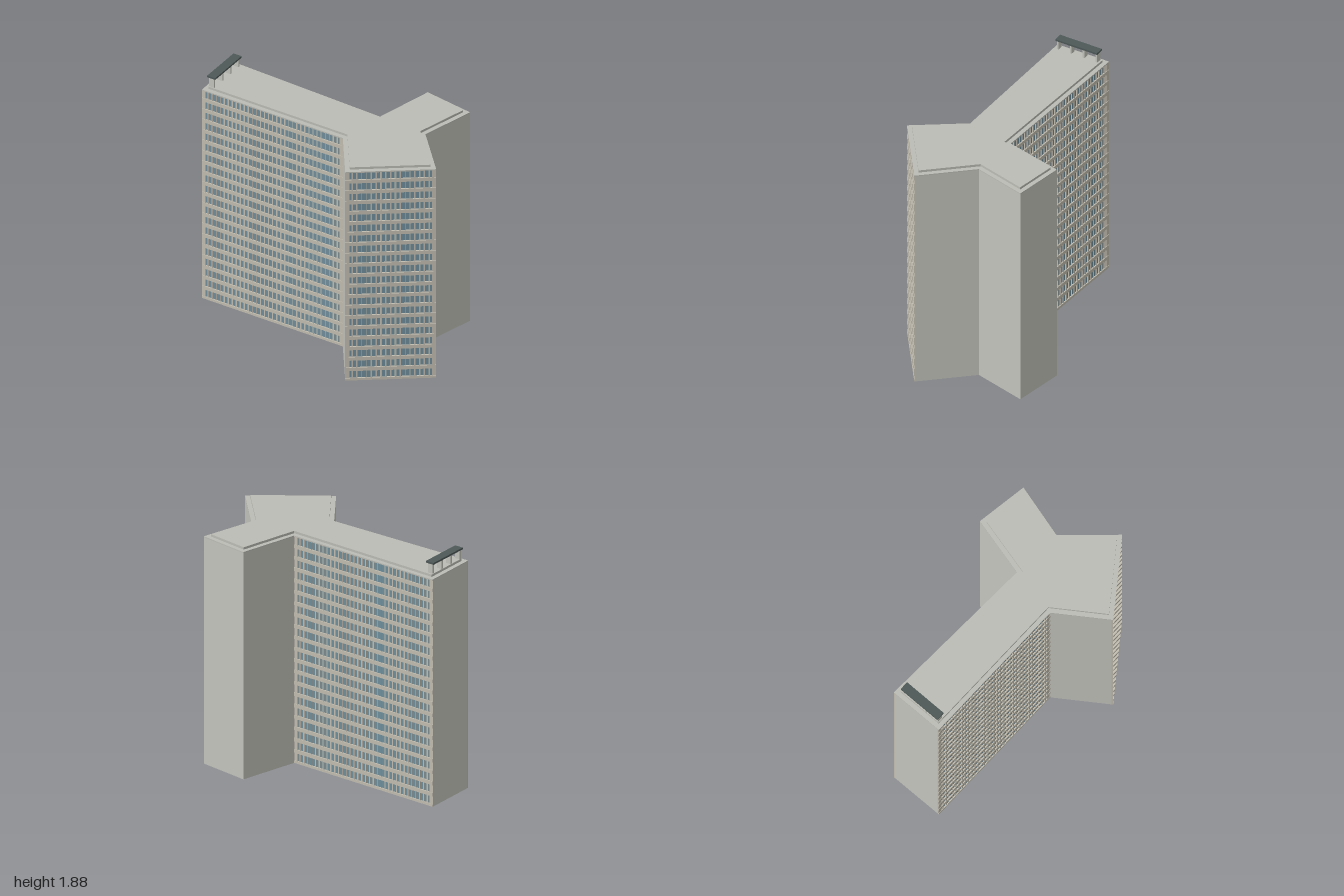
import * as THREE from 'three';
import { mergeGeometries } from 'three/addons/utils/BufferGeometryUtils.js';

const mat = (name, color) => {
  const m = new THREE.MeshStandardMaterial({ color });
  m.name = name;
  return m;
};

// Footprint corners [x, z]; edge i runs from corner i to corner i + 1
const PLAN = [
  [-1, -0.16], [0.27, -0.15], [0.37, -0.61], [0.77, -0.56], [0.67, -0.14],
  [0.995, 0.2], [0.48, 0.6], [0.21, 0.235], [-0.985, 0.27],
];
const WINDOWED = { 0: 35, 5: 18, 7: 34 }; // edge -> window columns
const TOP = 1.77, FLOORS = 20, STOREY = TOP / FLOORS, DEPTH = 0.012;

// Unit direction of edge i
function edgeDir(i) {
  const n = PLAN.length, a = PLAN[(i + n) % n], b = PLAN[(i + 1) % n];
  return new THREE.Vector2(b[0] - a[0], b[1] - a[1]).normalize();
}

// Move every edge of the footprint inwards by dist(edge)
function inset(dist) {
  const n = PLAN.length;
  return PLAN.map(([x, z], i) => {
    const p = (i + n - 1) % n, u = edgeDir(p), v = edgeDir(i);
    const cross = u.x * v.y - u.y * v.x, dot = u.dot(v);
    const s = (dist(p) * dot - dist(i)) / cross; // slide along the previous edge
    return [x - u.y * dist(p) + u.x * s, z + u.x * dist(p) + u.y * s];
  });
}

// Vertical prism over a plan outline
function prism(points, y0, y1) {
  const shape = new THREE.Shape(points.map(([x, z]) => new THREE.Vector2(x, -z)));
  const g = new THREE.ExtrudeGeometry(shape, { depth: y1 - y0, bevelEnabled: false });
  return g.rotateX(-Math.PI / 2).translate(0, y0, 0);
}

function box(w, h, d, x, y, z) {
  return new THREE.BoxGeometry(w, h, d).translate(x, y, z);
}

export function createModel() {
  const model = new THREE.Group();
  model.name = 'towerBlock';
  const concrete = mat('concrete', 0xc3c4bc);
  const trim = mat('facadeTrim', 0xc2bdb0);
  const glass = mat('windowGlass', 0x6f8e9b);
  const roofing = mat('roofing', 0xbcbcb5);
  const dark = mat('darkMetal', 0x4d5857);

  const add = (parent, name, geometry, material) => {
    const m = new THREE.Mesh(geometry, material);
    m.name = name;
    parent.add(m);
    return m;
  };

  // Main body, set back behind the window walls, and the roof
  add(model, 'body', prism(inset((i) => (i in WINDOWED ? DEPTH : 0)), 0, TOP - 0.008), concrete);
  add(model, 'roofEdge', prism(PLAN, TOP - 0.008, TOP), roofing);
  add(model, 'roofSlab', prism(inset(() => 0.034), TOP, TOP + 0.018), roofing);

  // Window walls: glass behind projecting floor bands and upright mullions
  for (const [key, columns] of Object.entries(WINDOWED)) {
    const i = Number(key), a = PLAN[i], b = PLAN[(i + 1) % PLAN.length];
    const dir = edgeDir(i);
    const length = Math.hypot(b[0] - a[0], b[1] - a[1]);
    const wall = new THREE.Group();
    wall.name = 'windowWall';
    wall.position.set((a[0] + b[0]) / 2, 0, (a[1] + b[1]) / 2);
    wall.rotation.y = Math.atan2(dir.y, -dir.x);
    model.add(wall);

    add(wall, 'glass', box(length - 0.01, TOP - 0.02, 0.002, 0, TOP / 2, -DEPTH + 0.001), glass);

    const bands = [];
    for (let f = 0; f <= FLOORS; f++) {
      const y0 = Math.max(0, f * STOREY - 0.0095);
      const y1 = Math.min(TOP - 0.008, f * STOREY + 0.019);
      if (y1 > y0) bands.push(box(length, y1 - y0, DEPTH, 0, (y0 + y1) / 2, -DEPTH / 2));
    }
    add(wall, 'floorBands', mergeGeometries(bands), trim);

    const uprights = [];
    const margin = 0.015, pitch = (length - margin * 2) / columns;
    for (let c = 0; c <= columns; c++) {
      const end = c === 0 || c === columns;
      const width = end ? 0.03 : [3, 4].includes(c % 9) ? 0.004 : 0.011;
      const x = -length / 2 + margin + c * pitch;
      uprights.push(box(width, TOP - 0.008, 0.009, x, (TOP - 0.008) / 2, -DEPTH + 0.0045));
    }
    add(wall, 'mullions', mergeGeometries(uprights), trim);
  }

  // Rooftop canopy on four thin piers
  const canopy = new THREE.Group();
  canopy.name = 'roofCanopy';
  canopy.position.set(-0.935, TOP, 0.058);
  canopy.rotation.y = 0.03;
  add(canopy, 'canopyTop', box(0.068, 0.014, 0.35, 0, 0.1, 0), dark);
  for (let k = 0; k < 4; k++) {
    add(canopy, 'canopyPier', box(0.042, 0.094, 0.014, 0, 0.047, -0.162 + k * 0.108), concrete);
  }
  model.add(canopy);

  return model;
}
